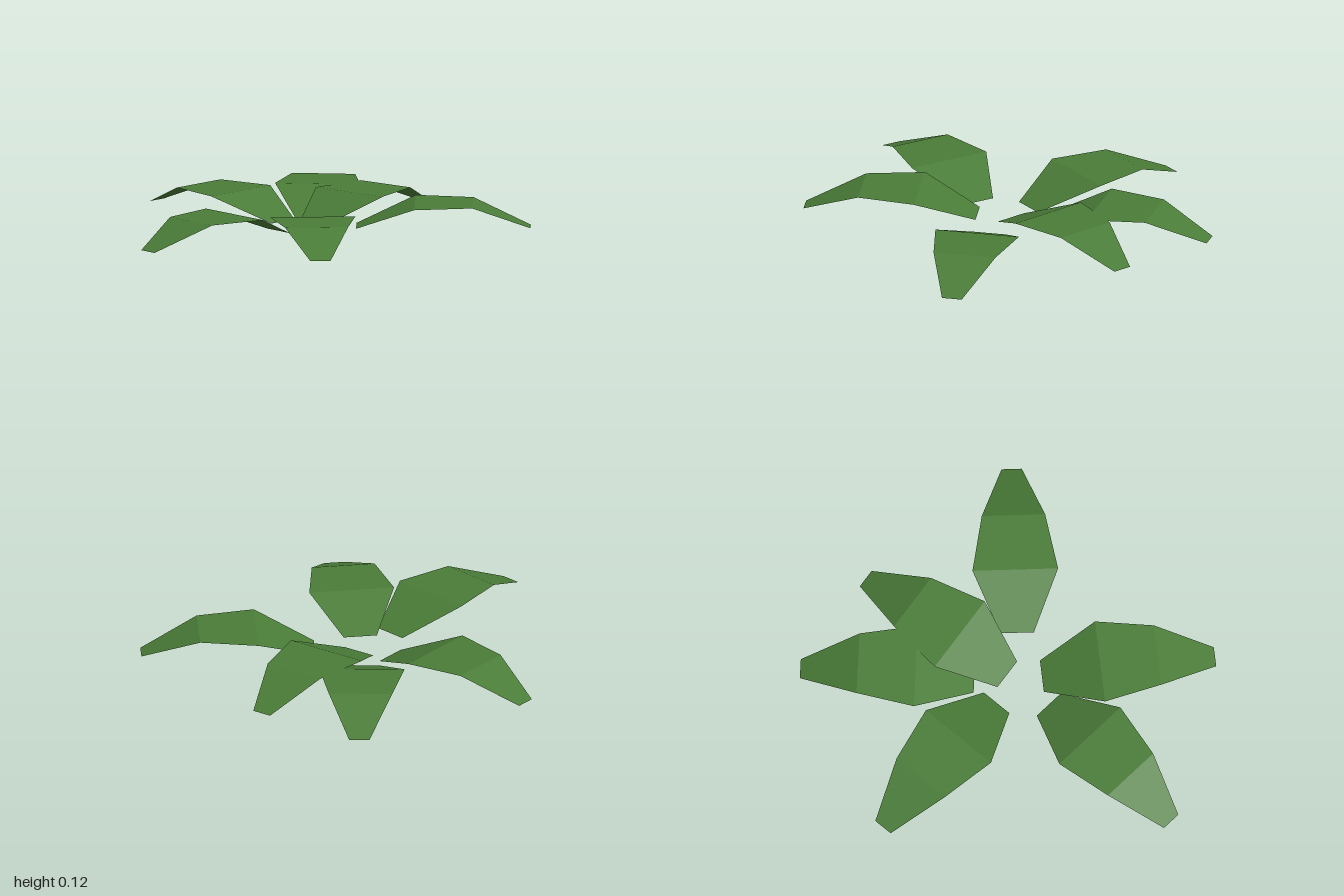
import * as THREE from 'three';

// Leaf cross-sections along its length: [distance, height, half width]
const SECTIONS = [
  [0, 0, 0.083],
  [0.29, 0.118, 0.212],
  [0.577, 0.118, 0.157],
  [0.863, 0, 0.05],
];

// Each leaf: [base x, base z, tip x, tip z]
const LEAVES = [
  [0.12, 0.048, 0.983, 0.048],
  [0.208, 0.254, 0.733, 0.938],
  [-0.025, 0.14, -0.663, 0.725],
  [-0.14, 0.038, -0.993, -0.108],
  [0.075, -0.105, 0.15, -0.968],
  [0.244, -0.058, 0.968, -0.525],
];

// One folded sheet running along +x
function leafGeometry() {
  const positions = [];
  const index = [];
  SECTIONS.forEach(([x, y, w], i) => {
    positions.push(x, y, -w, x, y, w);
    if (i > 0) {
      const a = 2 * (i - 1);
      index.push(a, a + 1, a + 3, a, a + 3, a + 2);
    }
  });
  const indexed = new THREE.BufferGeometry();
  indexed.setAttribute('position', new THREE.Float32BufferAttribute(positions, 3));
  indexed.setIndex(index);
  const geometry = indexed.toNonIndexed();
  geometry.computeVertexNormals();
  return geometry;
}

export function createModel() {
  const model = new THREE.Group();
  model.name = 'leafyPlant';

  const leafGreen = new THREE.MeshStandardMaterial({
    color: 0x4a7c38,
    flatShading: true,
    side: THREE.DoubleSide,
  });
  leafGreen.name = 'leaf green';

  // Ring of drooping leaves, each aimed from its base to its tip
  const geometry = leafGeometry();
  LEAVES.forEach(([bx, bz, tx, tz], i) => {
    const leaf = new THREE.Mesh(geometry, leafGreen);
    leaf.name = `leaf${i + 1}`;
    leaf.position.set(bx, 0, bz);
    leaf.rotation.y = Math.atan2(bz - tz, tx - bx);
    model.add(leaf);
  });

  return model;
}
